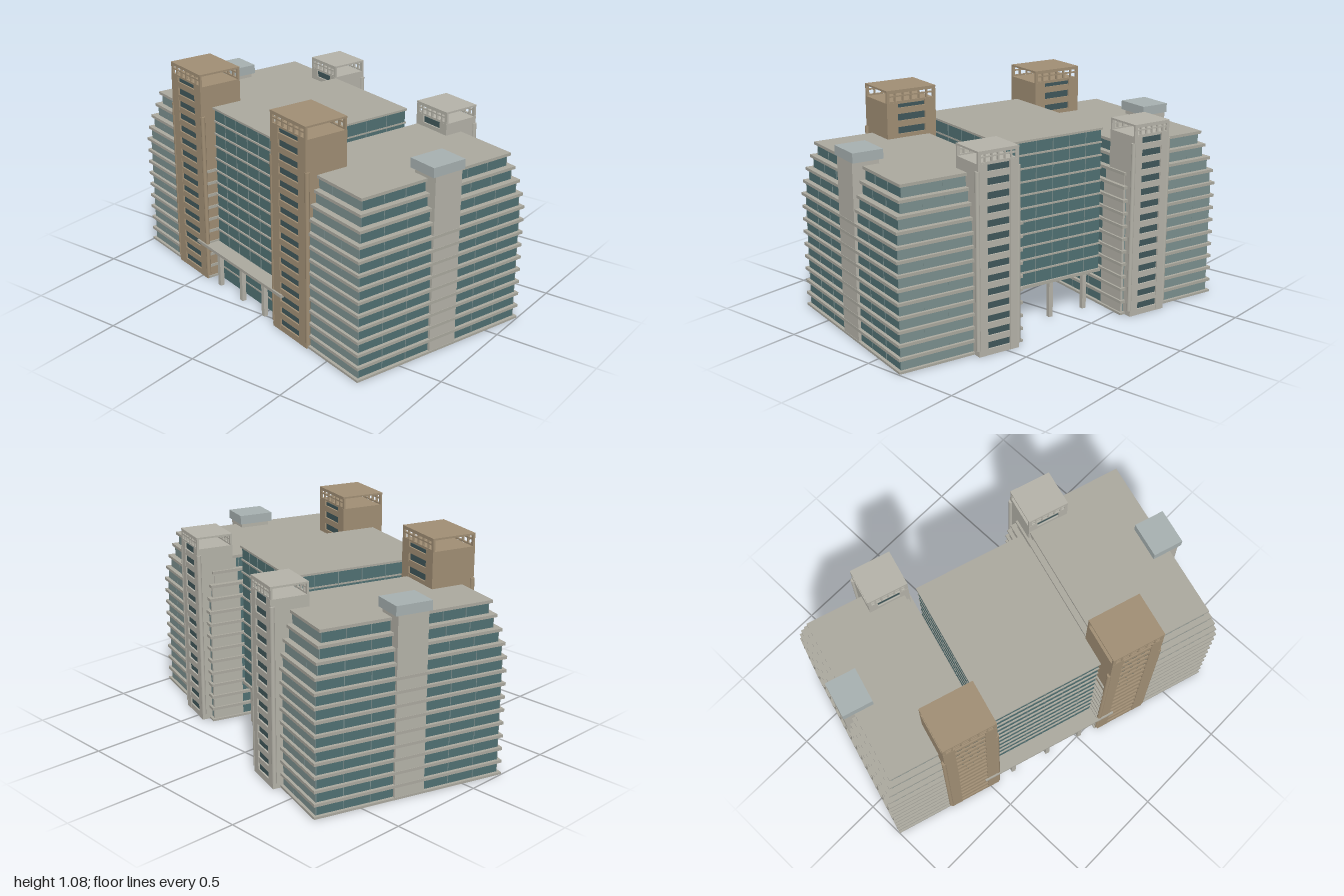
import * as THREE from 'three';

const mat = (color) => new THREE.MeshStandardMaterial({ color });
const SLAB = mat(0xaaa89e), GLASS = mat(0x507072), MULLION = mat(0x7b8f8e), WALL = mat(0xb4b2a8);
const TAN = mat(0xa08e74), CAP = mat(0xa6b0b0), PANE = mat(0x40575a);
const PITCH = 0.0642, FLOORS = 13;

// Box given by its min and max corners
function box(parent, name, x0, x1, y0, y1, z0, z1, material) {
  const m = new THREE.Mesh(new THREE.BoxGeometry(x1 - x0, y1 - y0, z1 - z0), material);
  m.position.set((x0 + x1) / 2, (y0 + y1) / 2, (z0 + z1) / 2);
  m.name = name;
  parent.add(m);
  return m;
}

// Office block: glazed storeys between projecting slabs, the top four stepping inwards
function block(name, x0, x1, z0, z1, innerSide) {
  const g = new THREE.Group();
  g.name = name;
  const inset = (f) => (f < 9 ? 0.016 : [0.02, 0.032, 0.05, 0.067][f - 9]);
  box(g, 'groundSlab', x0, x1, 0.002, 0.013, z0, z1, SLAB);
  for (let f = 0; f < FLOORS; f++) {
    const d = inset(f), y0 = f * PITCH + 0.004, y1 = y0 + PITCH;
    const a = x0 + d, b = x1 - d, c = z0 + d, e = z1 - d;
    box(g, 'glazing', a, b, y0, y1, c, e, GLASS);
    const s = f < 9 ? 0 : d - 0.013;
    box(g, 'floorSlab', x0 + s, x1 - s, y1 - 0.007, y1 + 0.007, z0 + s, z1 - s, SLAB);
    // window mullions on all four faces
    for (let i = 0; i <= 7; i++) {
      const x = a + ((b - a) * i) / 7;
      box(g, 'mullion', x - 0.0015, x + 0.0015, y0, y1, c - 0.002, e + 0.002, MULLION);
    }
    for (let i = 1; i < 5; i++) {
      const z = c + ((e - c) * i) / 5;
      box(g, 'mullion', a - 0.002, b + 0.002, y0, y1, z - 0.0015, z + 0.0015, MULLION);
    }
    // solid stepped end wall beside the link
    const w = innerSide > 0 ? e : c;
    box(g, 'endWall', 0.31, b + 0.004, y0, y1, w - 0.006, w + 0.006, WALL);
  }
  return g;
}

// Stair tower with window bays on both x faces and an open crown under a flat roof
function tower(name, x0, x1, z0, z1, top, crown, material, outer) {
  const g = new THREE.Group();
  g.name = name;
  const r = 0.012, floorY = top - crown, w = z1 - z0;
  box(g, 'shaft', x0 + r, x1 - r, 0, floorY, z0, z1, material);
  box(g, 'roof', x0, x1, top - 0.009, top, z0, z1, material);
  for (const side of [-1, 1]) {
    const xa = side < 0 ? x0 : x1 - r, xb = xa + r;
    const bayA = z0 + w * 0.22, bayB = z1 - w * 0.22;
    // piers either side of the window bay
    box(g, 'pier', xa, xb, 0, floorY, z0, bayA, material);
    box(g, 'pier', xa, xb, 0, floorY, bayB, z1, material);
    const xm = side < 0 ? x0 + r : x1 - r;
    box(g, 'windowStrip', xm - 0.003, xm + 0.003, 0.01, floorY - 0.01, bayA, bayB, PANE);
    for (let y = 0; y < floorY - 0.01; y += PITCH) {
      box(g, 'spandrel', xa + 0.001, xb - 0.001, y, Math.min(y + 0.03, floorY), bayA, bayB, material);
    }
    // crown lattice
    const ga = xa + 0.001, gb = xb - 0.001;
    for (const y of [floorY, floorY + crown * 0.45, top - 0.016]) {
      box(g, 'latticeRail', ga, gb, y, y + 0.007, z0, z1, material);
    }
    for (let i = 0; i <= 6; i++) {
      const hw = i % 6 ? 0.004 : 0.008;
      const z = z0 + hw + ((w - 2 * hw) * i) / 6;
      box(g, 'latticePost', ga, gb, floorY, top, z - hw, z + hw, material);
    }
    // round columns on the outward corners
    if (side === outer) {
      for (const z of [z0, z1]) {
        const c = new THREE.Mesh(new THREE.CylinderGeometry(0.011, 0.011, 0.84, 12), material);
        c.position.set(side < 0 ? x0 + 0.008 : x1 - 0.008, 0.45, z);
        c.name = 'cornerColumn';
        g.add(c);
      }
    }
  }
  return g;
}

// Lift shaft on an end wall, capped by a wider machine room
function liftShaft(name, side) {
  const g = new THREE.Group();
  g.name = name;
  const zs = [0.76 * side, 0.895 * side].sort((a, b) => a - b);
  const zc = [0.745 * side, 0.898 * side].sort((a, b) => a - b);
  box(g, 'shaft', -0.07, 0.082, 0.001, 0.87, zs[0], zs[1], WALL);
  box(g, 'machineRoom', -0.085, 0.095, 0.868, 0.914, zc[0], zc[1], CAP);
  return g;
}

// Raised link between the two blocks
function link() {
  const g = new THREE.Group();
  g.name = 'link';
  const x0 = -0.43, x1 = 0.312, z0 = -0.32, z1 = 0.25, base = 0.193;
  box(g, 'glazing', x0 + 0.01, x1 - 0.01, base, 0.9, z0 + 0.004, z1 - 0.004, GLASS);
  for (let f = 4; f < 14; f++) {
    const y = f * PITCH + 0.004;
    box(g, 'floorSlab', x0 + 0.003, x1 - 0.003, y - 0.004, y + 0.004, z0 + 0.002, z1 - 0.002, SLAB);
  }
  box(g, 'roof', x0, x1, 0.9, 0.91, z0, z1, SLAB);
  for (let i = 1; i < 6; i++) {
    const z = z0 + ((z1 - z0) * i) / 6;
    box(g, 'mullion', x0 + 0.008, x1 - 0.008, base, 0.9, z - 0.0015, z + 0.0015, MULLION);
  }
  for (let i = 1; i < 6; i++) {
    const x = x0 + ((x1 - x0) * i) / 6;
    box(g, 'mullion', x - 0.0015, x + 0.0015, base, 0.9, z0 + 0.002, z1 - 0.002, MULLION);
  }
  // entrance canopies, columns and the low lobby screen
  box(g, 'canopy', -0.5, x1, 0.18, 0.195, z0, z1, SLAB);
  box(g, 'canopyEdge', -0.5, -0.475, 0.18, 0.195, -0.4, 0.34, SLAB);
  for (const x of [-0.47, 0.295]) {
    for (const z of [-0.23, -0.03, 0.16]) {
      box(g, 'column', x - 0.011, x + 0.011, 0, 0.182, z - 0.011, z + 0.011, WALL);
    }
  }
  box(g, 'lobbyScreen', -0.422, -0.412, 0, 0.13, z0, z1, GLASS);
  for (const y of [0.065, 0.13]) {
    box(g, 'screenRail', -0.425, -0.409, y - 0.004, y + 0.004, z0, z1, SLAB);
  }
  return g;
}

export function createModel() {
  const model = new THREE.Group();
  model.name = 'officeComplex';
  const site = new THREE.Group();
  site.name = 'buildings';
  site.rotation.y = -0.3;
  model.add(site);
  site.add(
    block('frontBlock', -0.485, 0.48, 0.25, 0.897, -1),
    block('backBlock', -0.485, 0.48, -0.897, -0.32, 1),
    link(),
    tower('frontRightTower', 0.332, 0.518, 0.298, 0.51, 0.96, 0.058, WALL, 1),
    tower('backRightTower', 0.332, 0.518, -0.556, -0.35, 0.96, 0.058, WALL, 1),
    tower('frontTanTower', -0.492, -0.268, 0.265, 0.532, 1.082, 0.062, TAN, -1),
    tower('backTanTower', -0.492, -0.268, -0.595, -0.325, 1.082, 0.062, TAN, -1),
    liftShaft('frontLiftShaft', 1),
    liftShaft('backLiftShaft', -1),
  );
  return model;
}
